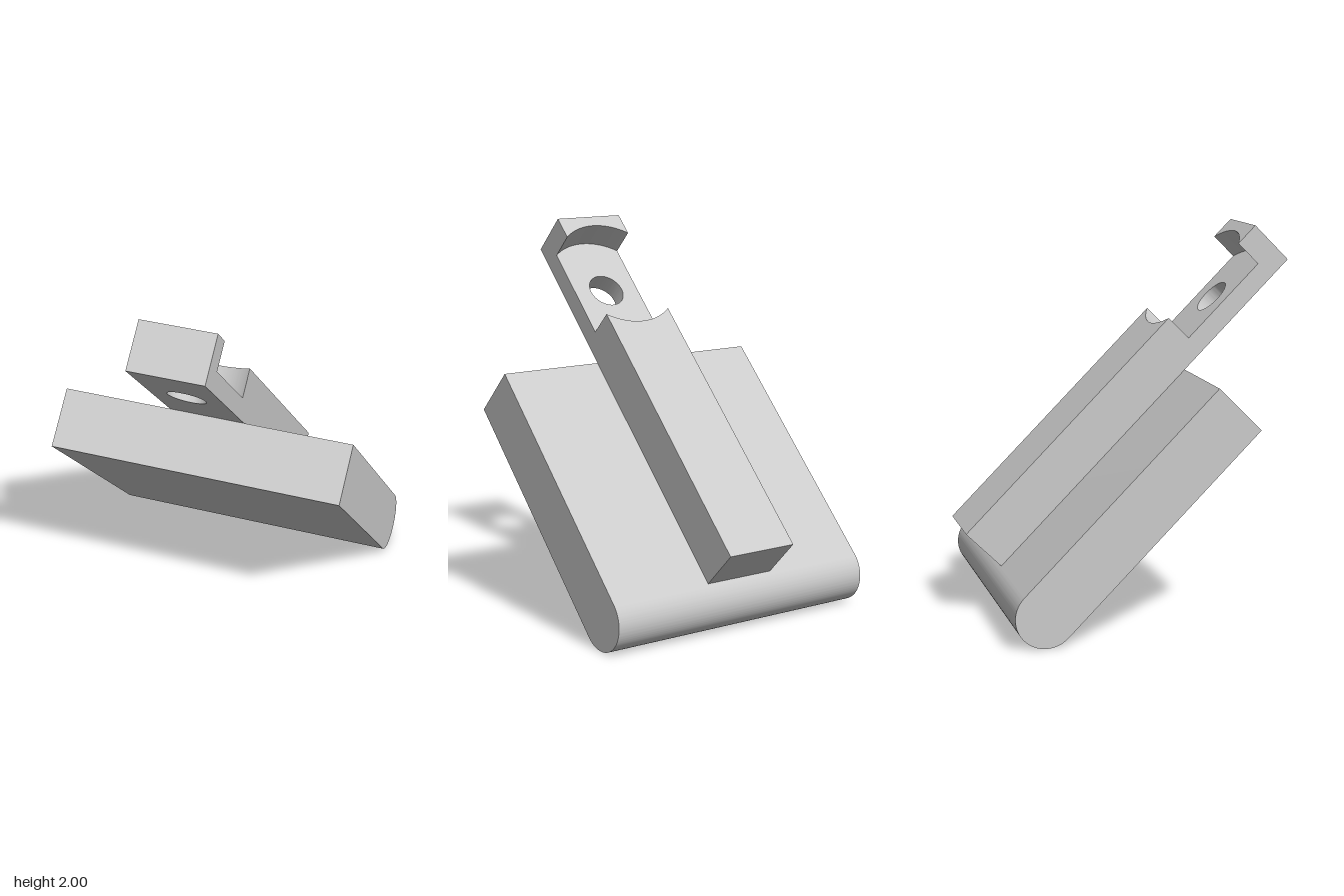
import * as THREE from 'three';
import { toCreasedNormals } from 'three/addons/utils/BufferGeometryUtils.js';

const HALF = 0.2;                       // half width of the arm
const BOTTOM = -0.29, TOP = 1.902;      // arm ends along the slope
const BACK = 0.675, SEAT = 0.778, FACE = 0.932; // heights across the slope
const HOLE = 1.506, RECESS = 0.333;     // hole centre, recess radius

export function createModel() {
  const model = new THREE.Group();
  const material = new THREE.MeshStandardMaterial({ color: 0xcccccc });

  // Everything is built upright, then leaned by 45 degrees
  const body = new THREE.Group();
  body.name = 'leaningBody';
  body.rotation.x = Math.PI / 4;
  model.add(body);

  function extrude(name, shape, depth) {
    const geometry = new THREE.ExtrudeGeometry(shape, { depth, bevelEnabled: false, curveSegments: 40 });
    const mesh = new THREE.Mesh(toCreasedNormals(geometry, 0.5), material);
    mesh.name = name;
    body.add(mesh);
    return mesh;
  }

  // Arm layers lie between two heights across the slope
  function layer(name, shape, low, high) {
    extrude(name, shape, high - low).position.z = -high;
  }

  // Wide plate with a rounded lower edge
  const r = 0.157, mid = 0.518;
  const profile = new THREE.Shape();
  profile.moveTo(mid + r, 1.108);
  profile.lineTo(mid - r, 1.108);
  profile.lineTo(mid - r, -0.296);
  profile.absarc(mid, -0.296, r, Math.PI, Math.PI * 2, false);
  profile.closePath();
  const plate = extrude('widePlate', profile, 1.554);
  plate.rotation.y = Math.PI / 2;
  plate.position.x = -0.777;

  // Thin strap running the full arm, with a round hole
  const strap = new THREE.Shape();
  strap.moveTo(-HALF, BOTTOM);
  strap.lineTo(HALF, BOTTOM);
  strap.lineTo(HALF, TOP);
  strap.lineTo(-HALF, TOP);
  strap.closePath();
  const hole = new THREE.Path();
  hole.absarc(0, HOLE, 0.1, 0, Math.PI * 2, true);
  strap.holes.push(hole);
  layer('strap', strap, BACK, SEAT);

  // Raised blocks at both ends, cut by one circular recess
  const a = Math.acos(HALF / RECESS);
  const bar = new THREE.Shape();
  bar.moveTo(-HALF, BOTTOM);
  bar.lineTo(HALF, BOTTOM);
  bar.absarc(0, HOLE, RECESS, -a, -Math.PI + a, true);
  bar.closePath();
  layer('raisedBar', bar, SEAT, FACE);

  const lip = new THREE.Shape();
  lip.moveTo(HALF, TOP);
  lip.lineTo(-HALF, TOP);
  lip.absarc(0, HOLE, RECESS, Math.PI - a, a, true);
  lip.closePath();
  layer('endLip', lip, SEAT, FACE);

  return model;
}
